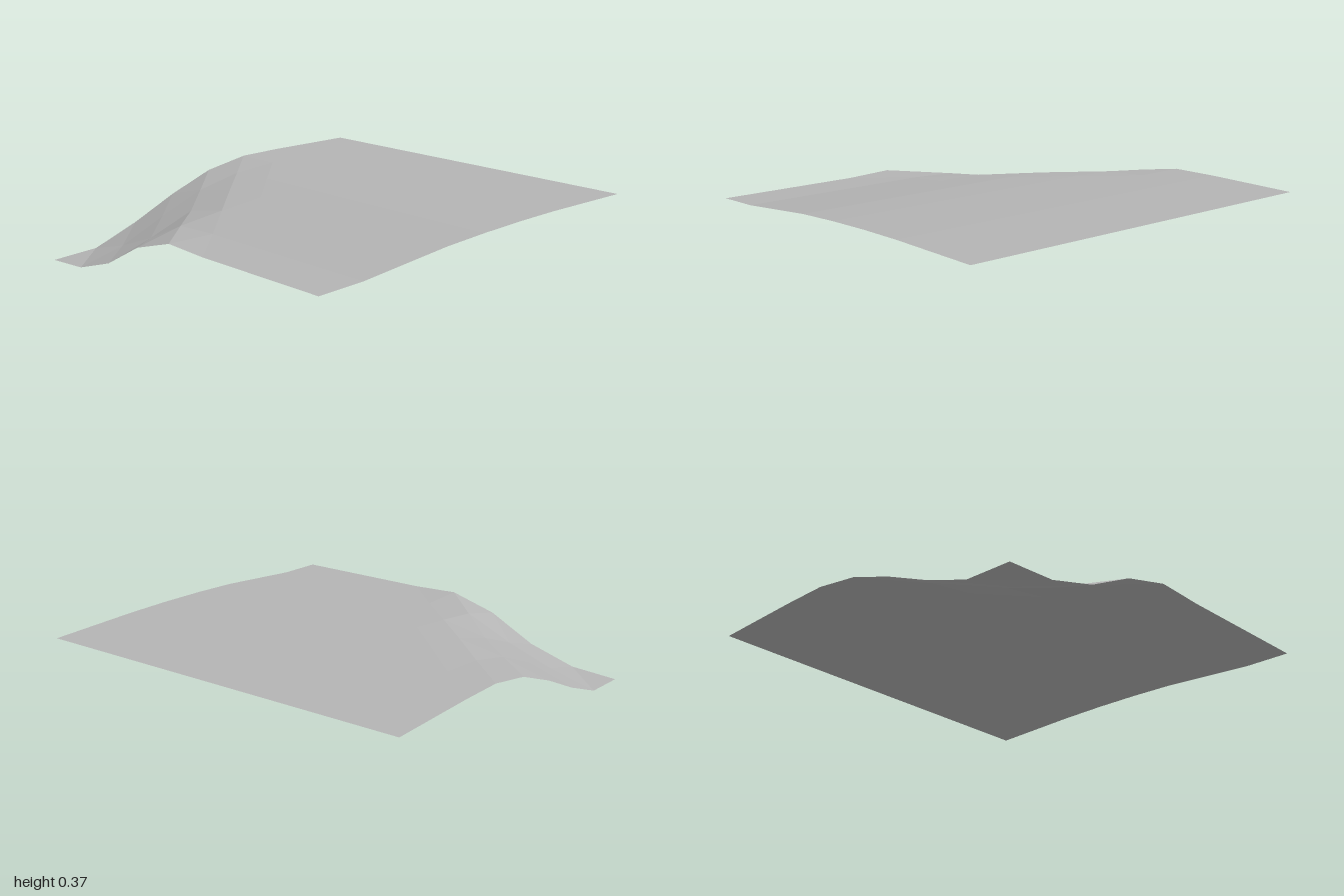
import * as THREE from 'three';

// Gentle slope from back to front, one height per grid row (z = -1 .. 1)
const ROW_HEIGHTS = [0.375, 0.375, 0.375, 0.37, 0.36, 0.345, 0.32, 0.295, 0.285];

// Depth of the hollow at the front corner: rows run back from the front edge,
// columns run inward from the -x edge
const HOLLOW = [
  [0.28, 0.265, 0.19, 0.06, -0.01],
  [0.275, 0.21, 0.12, 0.01, 0],
  [0.205, 0.125, 0.05, 0.003, 0],
  [0.115, 0.05, 0.008, 0, 0],
  [0.035, 0.01, 0, 0, 0],
];

export function createModel() {
  const group = new THREE.Group();
  group.name = 'terrainTile';

  const stone = new THREE.MeshStandardMaterial({
    color: 0xb4b4b4, flatShading: true, side: THREE.DoubleSide,
  });
  stone.name = 'grey ground';

  // Flat 8 x 8 grid, turned so cell diagonals run along the hollow's rim
  const sheet = new THREE.PlaneGeometry(2, 2, 8, 8).rotateX(-Math.PI / 2).rotateY(Math.PI / 2);

  // Raise every grid point to the slope, then sink the corner
  const p = sheet.attributes.position;
  for (let i = 0; i < p.count; i++) {
    const col = Math.round((p.getX(i) + 1) * 4);
    const row = Math.round((p.getZ(i) + 1) * 4);
    const dip = HOLLOW[8 - row]?.[col] ?? 0;
    p.setXYZ(i, col / 4 - 1, ROW_HEIGHTS[row] - dip - 0.005, row / 4 - 1);
  }

  const geometry = sheet.toNonIndexed();
  geometry.computeVertexNormals();
  const ground = new THREE.Mesh(geometry, stone);
  ground.name = 'ground';
  group.add(ground);
  return group;
}
